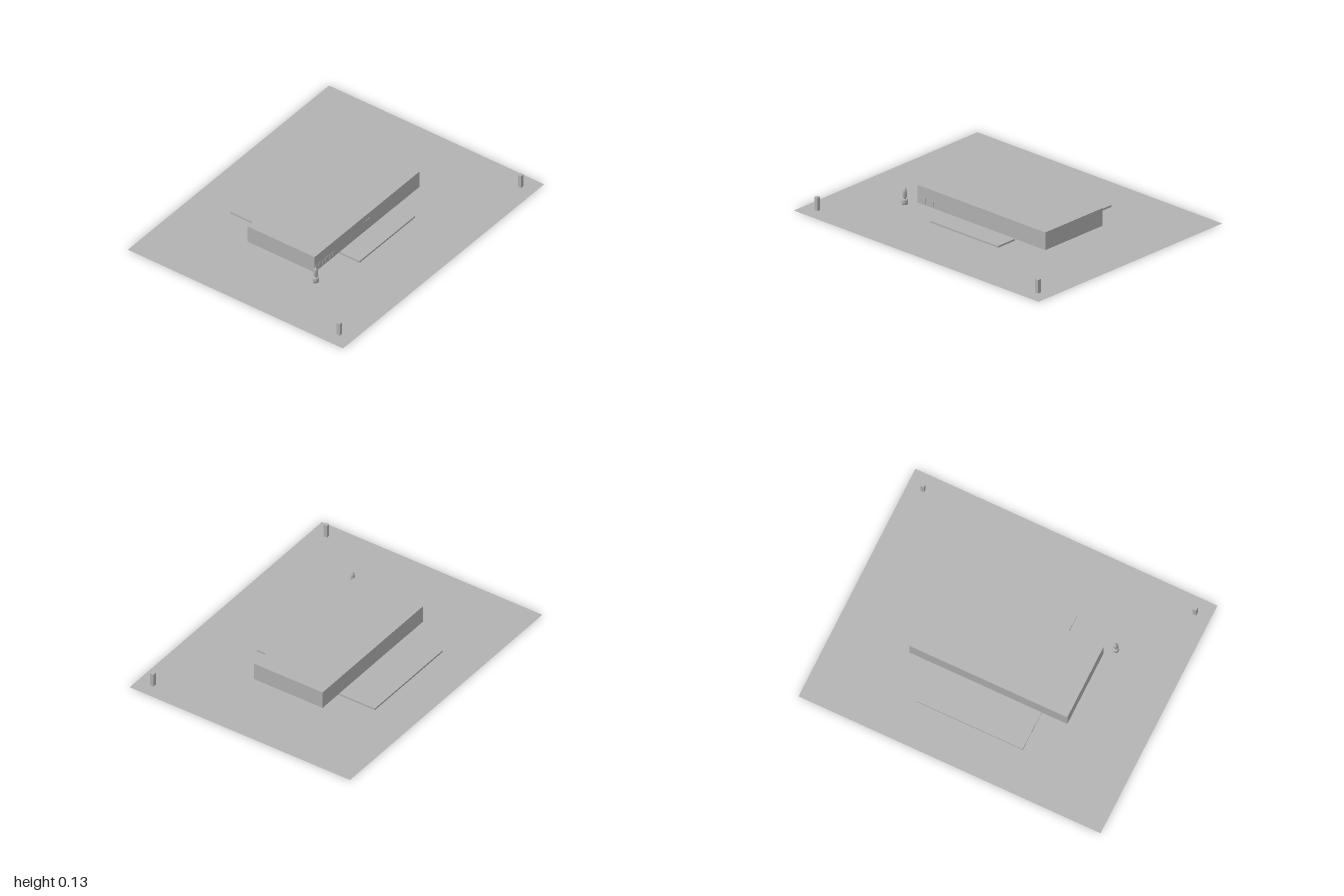
import * as THREE from 'three';

export function createModel() {
  const model = new THREE.Group();
  const grey = new THREE.MeshStandardMaterial({ color: 0xb2b2b2 });
  grey.name = 'plain grey';
  grey.side = THREE.DoubleSide;

  const add = (name, geometry, x, y, z) => {
    const mesh = new THREE.Mesh(geometry, grey);
    mesh.name = name;
    mesh.position.set(x, y, z);
    model.add(mesh);
    return mesh;
  };
  // Box given by its limits on each axis
  const slab = (name, x0, x1, y0, y1, z0, z1) =>
    add(name, new THREE.BoxGeometry(x1 - x0, y1 - y0, z1 - z0),
      (x0 + x1) / 2, (y0 + y1) / 2, (z0 + z1) / 2);

  // Ground sheet
  add('ground', new THREE.PlaneGeometry(2, 1.604).rotateX(-Math.PI / 2), 0, 0, 0);

  // Main block, raised just above the ground, between two low terraces
  slab('mainBlock', -0.522, 0.522, 0.013, 0.128, -0.268, 0.232);
  slab('frontTerrace', -0.275, 0.275, 0.002, 0.014, 0.232, 0.382);
  slab('rearTerrace', -0.352, 0.35, 0.002, 0.014, -0.528, -0.25);

  // Shallow sign panel and row of small panels on the front wall
  slab('frontPanel', -0.038, 0.038, 0.074, 0.09, 0.231, 0.234);
  for (let i = 0; i < 6; i++) {
    const x = -0.517 + i * 0.035;
    slab('wallPanel', x, x + 0.024, 0.024, 0.058, 0.231, 0.234);
  }

  // Corner posts
  for (const side of [-1, 1]) {
    slab('post', side * 0.901 - 0.012, side * 0.901 + 0.012, 0, 0.087, 0.689, 0.713);
  }

  // Small pointed statue on a faceted plinth
  const profile = (points) => points.map(([r, y]) => new THREE.Vector2(r, y));
  const lathe = (name, points) => add(name,
    new THREE.LatheGeometry(profile(points), 8, Math.PI / 8), -0.578, 0, 0.283);
  lathe('plinth', [[0, 0.002], [0.018, 0.002], [0.02, 0.012], [0.02, 0.03], [0.016, 0.038], [0, 0.038]]);
  lathe('statue', [[0.009, 0.038], [0.009, 0.046], [0.014, 0.05], [0.014, 0.085], [0.01, 0.1], [0, 0.114]]);

  return model;
}
